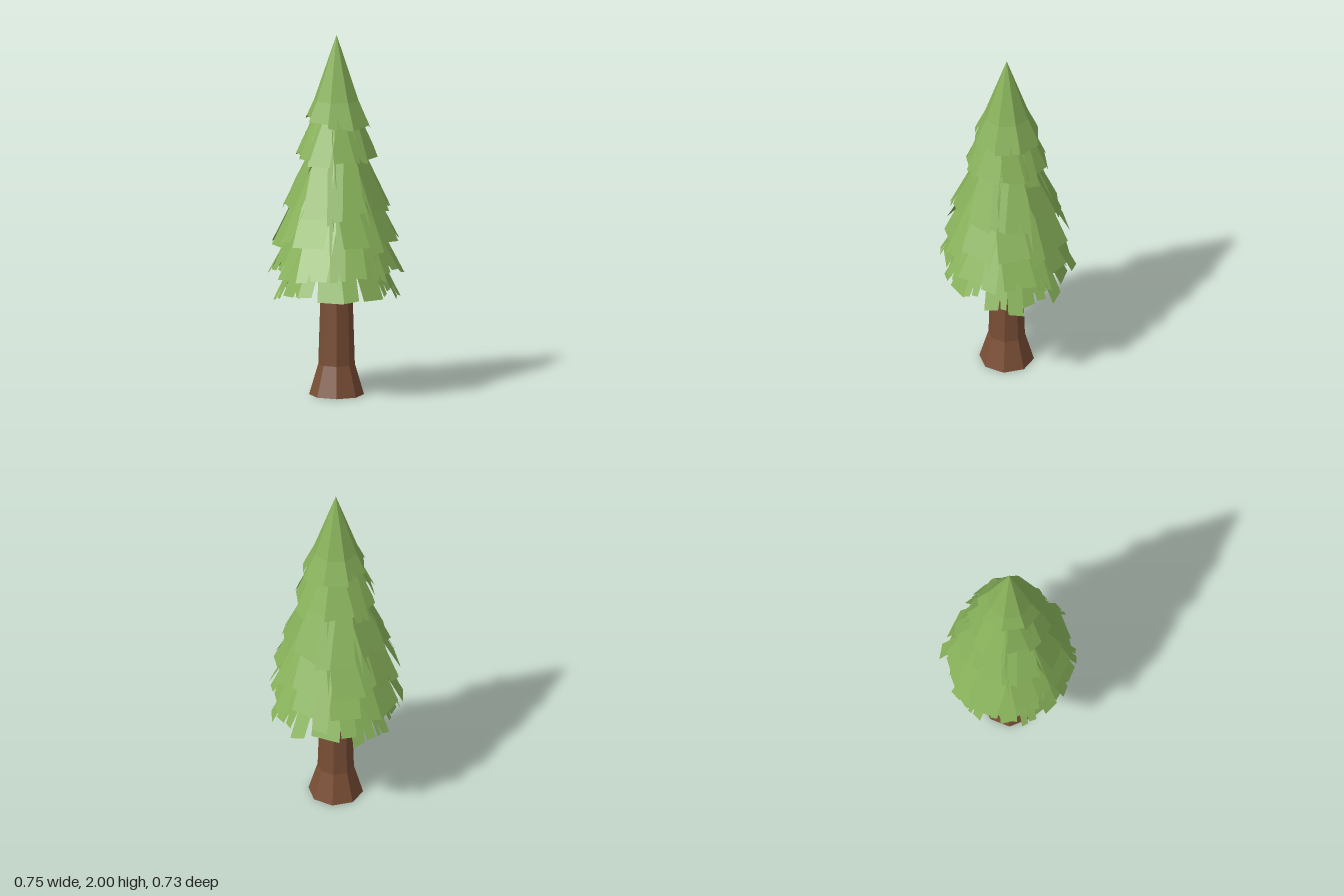
import * as THREE from 'three';

const DEG = Math.PI / 180;
const HALF_SECTOR = Math.tan(22.5 * DEG);

// Small seeded generator for the irregular needle edges
function seeded(seed) {
  let s = seed;
  return () => (s = (s * 16807) % 2147483647) / 2147483647;
}

export function createModel() {
  const tree = new THREE.Group();
  tree.name = 'pineTree';
  const rnd = seeded(90731);
  const jitter = (amount) => (rnd() * 2 - 1) * amount;

  const bark = new THREE.MeshStandardMaterial({
    color: 0x7a4f36, flatShading: true, side: THREE.DoubleSide,
  });
  const needles = new THREE.MeshStandardMaterial({
    color: 0x88b25a, flatShading: true, side: THREE.DoubleSide,
  });

  // Eight-sided trunk with a flared, open foot
  const profile = [[0.15, 0], [0.1, 0.17], [0.088, 0.55], [0.055, 1.2], [0.02, 1.75]]
    .map(([r, y]) => new THREE.Vector2(r, y));
  const trunk = new THREE.Mesh(new THREE.LatheGeometry(profile, 8, 15 * DEG), bark);
  trunk.name = 'trunk';
  tree.add(trunk);

  // Flat bough sheet: widens with its sector, then hangs straight, with notches in its lower edge
  function bough(az, top, bottom, maxWidth, notches, skew) {
    const [r0, y0] = top, [r1, y1] = bottom;
    const length = Math.hypot(r1 - r0, y0 - y1);
    const half = Math.min(maxWidth / 2, r1 * HALF_SECTOR);
    const half0 = Math.min(half, r0 * HALF_SECTOR);
    const shoulder = length * (half / HALF_SECTOR - r0) / (r1 - r0);
    const hasShoulder = half > half0 && shoulder < length * 0.9;
    const low = (u) => -length + (u / half) * skew;
    const shape = new THREE.Shape();
    shape.moveTo(-half0, 0);
    if (hasShoulder) shape.lineTo(-half, -shoulder);
    shape.lineTo(-half, low(-half));
    for (let i = 0; i < notches; i++) {
      const u = half * (-1 + 2 * (i + 0.5 + jitter(0.22)) / notches);
      const w = half * 0.12, depth = 0.03 + rnd() * 0.035;
      shape.lineTo(u - w, low(u - w));
      shape.lineTo(u - w * 0.3, low(u) + depth);
      shape.lineTo(u + w * 0.4, low(u) + depth * 0.8);
      shape.lineTo(u + w, low(u + w) + 0.008);
    }
    shape.lineTo(half, low(half));
    if (hasShoulder) shape.lineTo(half, -shoulder);
    shape.lineTo(half0, 0);
    const geometry = new THREE.ShapeGeometry(shape);
    geometry.rotateX(-Math.atan2(r1 - r0, y0 - y1));
    geometry.translate(0, y0, r0);
    geometry.rotateY(az * DEG);
    const mesh = new THREE.Mesh(geometry, needles);
    mesh.name = 'bough';
    return mesh;
  }

  // Pointed crown: steep tip, then flared sheets of uneven length
  const crown = new THREE.Group();
  crown.name = 'crown';
  const tip = new THREE.Mesh(new THREE.ConeGeometry(0.125, 0.36, 8, 1, true), needles);
  tip.name = 'crownTip';
  tip.position.y = 1.82;
  crown.add(tip);
  [1.5, 1.49, 1.49, 1.51, 1.53, 1.55, 1.53, 1.5].forEach((y, k) => {
    crown.add(bough(22.5 + 45 * k, [0.1155, 1.64], [0.1155 + (1.64 - y) * 0.42, y], 0.135,
      k % 3 === 1 ? 1 : 0, jitter(0.012)));
  });
  tree.add(crown);

  // Overlapping tiers: [radius, height] of top and bottom, sheet width, heading of the first
  // sheet, and the number of ragged strips
  const tiers = [
    { top: [0.045, 1.72], bottom: [0.215, 1.32], width: 0.15, az: -14, strips: 4 },
    { top: [0.07, 1.5], bottom: [0.28, 1.04], width: 0.16, az: -13, strips: 4 },
    { top: [0.09, 1.33], bottom: [0.335, 0.86], width: 0.18, az: -12, strips: 4 },
    { top: [0.1, 1.17], bottom: [0.345, 0.7], width: 0.17, az: -12, strips: 8 },
    { top: [0.11, 1.0], bottom: [0.325, 0.56], width: 0.14, az: 8, strips: 8 },
  ];
  tiers.forEach(({ top, bottom, width, az, strips }, t) => {
    const tier = new THREE.Group();
    tier.name = 'boughTier' + (t + 1);
    const slope = (bottom[0] - top[0]) / (top[1] - bottom[1]);
    // Broad sheets
    for (let k = 0; k < 8; k++) {
      const dy = jitter(0.022);
      tier.add(bough(az + 45 * k + jitter(4), top, [bottom[0] - dy * slope, bottom[1] + dy],
        width + jitter(0.02), rnd() < 0.35 ? 1 : 0, jitter(0.014)));
    }
    // Narrow ragged strips showing in the gaps
    for (let k = 0; k < strips; k++) {
      const dy = jitter(0.035);
      const heading = az + 22.5 + (360 / strips) * k + 45 * (t % 2) + jitter(6);
      tier.add(bough(heading, [top[0] + 0.005, top[1]],
        [bottom[0] + 0.015 - dy * slope, bottom[1] + dy], 0.085,
        rnd() < 0.6 ? 1 : 0, jitter(0.018)));
    }
    tree.add(tier);
  });

  return tree;
}
